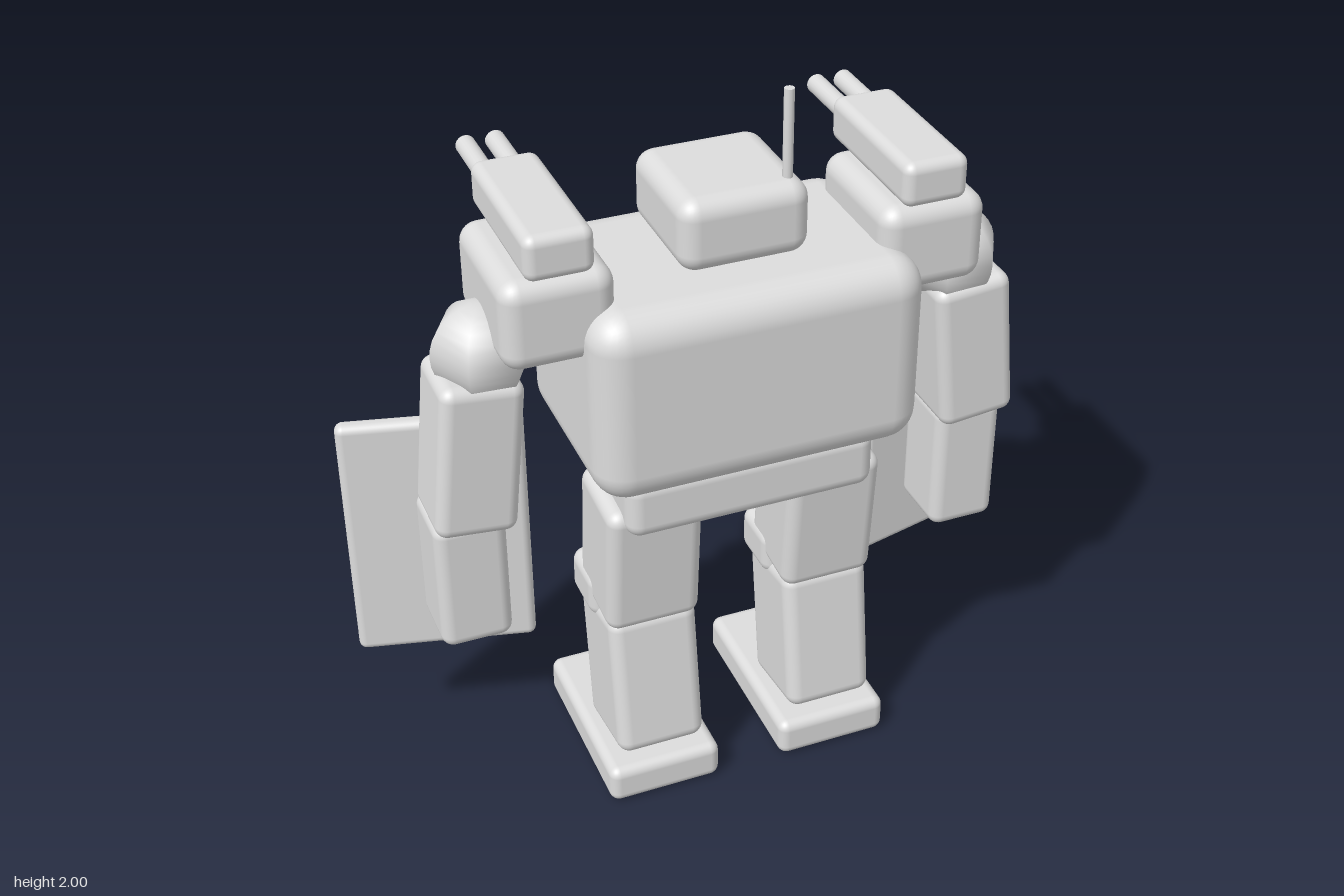
import * as THREE from 'three';
import { RoundedBoxGeometry } from 'three/addons/geometries/RoundedBoxGeometry.js';

const mat = (name, color) => {
  const m = new THREE.MeshStandardMaterial({ color });
  m.name = name;
  return m;
};

export function createModel() {
  const armour = mat('armour grey', 0xdcdcdc);
  const green = mat('emblem green', 0xa4dc84);
  const olive = mat('visor gold', 0xdcc850);
  const model = new THREE.Group();
  model.name = 'walkingRobot';

  const add = (parent, name, geometry, pos, material = armour, rot = [0, 0, 0]) => {
    const mesh = new THREE.Mesh(geometry, material);
    mesh.name = name;
    mesh.position.set(...pos);
    mesh.rotation.set(...rot);
    parent.add(mesh);
  };
  // rounded block; radius 0 gives a plain box
  const block = (parent, name, size, radius, pos, rot, material) =>
    add(parent, name,
      radius ? new RoundedBoxGeometry(...size, 4, radius) : new THREE.BoxGeometry(...size),
      pos, material, rot);
  // rod lying along z
  const rodZ = (parent, name, r, length, pos, material, sides = 20) =>
    add(parent, name, new THREE.CylinderGeometry(r, r, length, sides).rotateX(Math.PI / 2), pos, material);

  // Body: the robot looks towards -z
  block(model, 'torso', [0.868, 0.526, 0.58], 0.09, [0, 1.307, 0.076]);
  block(model, 'pelvis', [0.68, 0.172, 0.42], 0.042, [0, 0.965, 0.075]);
  block(model, 'chestPlate', [0.68, 0.28, 0.035], 0.012, [0, 1.265, -0.225], [-0.11, 0, 0]);
  block(model, 'chestLedge', [0.69, 0.038, 0.06], 0, [0, 1.093, -0.211]);
  rodZ(model, 'chestEmblem', 0.066, 0.025, [0, 1.375, -0.26], green, 32);

  // Head with visor and antenna
  block(model, 'head', [0.338, 0.194, 0.355], 0.05, [0, 1.674, 0.051]);
  block(model, 'visorFrame', [0.28, 0.068, 0.03], 0, [0, 1.673, -0.123]);
  block(model, 'visor', [0.255, 0.042, 0.008], 0, [0, 1.673, -0.14], undefined, olive);
  add(model, 'antenna', new THREE.CylinderGeometry(0.013, 0.013, 0.27, 12), [0.123, 1.865, 0.17]);

  // Limbs, mirrored by s
  for (const s of [1, -1]) {
    const side = s > 0 ? 'left' : 'right';

    const leg = new THREE.Group();
    leg.name = side + 'Leg';
    model.add(leg);
    block(leg, 'foot', [0.318, 0.112, 0.53], 0.028, [s * 0.25, 0.06, 0.018]);
    block(leg, 'shin', [0.245, 0.425, 0.265], 0.036, [s * 0.25, 0.341, 0.105], [-0.14, 0, 0]);
    block(leg, 'thigh', [0.258, 0.4, 0.245], 0.036, [s * 0.25, 0.75, 0.112], [0.09, 0, 0]);
    block(leg, 'kneePad', [0.272, 0.135, 0.175], 0.035, [s * 0.25, 0.57, 0.01]);

    const arm = new THREE.Group();
    arm.name = side + 'Arm';
    model.add(arm);
    block(arm, 'shoulder', [0.285, 0.24, 0.385], 0.05, [s * 0.485, 1.549, 0.075]);
    // six-sided ball joint
    add(arm, 'shoulderJoint', new THREE.SphereGeometry(0.128, 6, 16), [s * 0.632, 1.409, 0.077]);
    block(arm, 'upperArm', [0.213, 0.432, 0.215], 0.033, [s * 0.678, 1.146, 0.076], [0, 0, s * 0.1]);
    block(arm, 'forearm', [0.19, 0.385, 0.205], 0.033, [s * 0.704, 0.745, 0.027]);

    // Twin gun on the shoulder
    const gun = new THREE.Group();
    gun.name = side + 'ShoulderGun';
    model.add(gun);
    block(gun, 'gunHousing', [0.173, 0.12, 0.438], 0.028, [s * 0.48, 1.726, 0.047]);
    for (const x of [0.442, 0.519]) rodZ(gun, 'barrel', 0.026, 0.24, [s * x, 1.727, -0.245]);

    // Shield angled outwards in front of the forearm
    const shield = new THREE.Group();
    shield.name = side + 'Shield';
    shield.position.set(s * 0.724, 0.728, -0.15);
    shield.rotation.y = s * 0.24;
    model.add(shield);
    block(shield, 'shieldPlate', [0.482, 0.73, 0.05], 0.022, [0, 0, 0]);
    block(shield, 'shieldRib', [0.06, 0.57, 0.02], 0, [0, -0.025, -0.028]);
    block(shield, 'shieldTopStrip', [0.39, 0.012, 0.01], 0, [0, 0.31, -0.024]);
  }
  return model;
}
